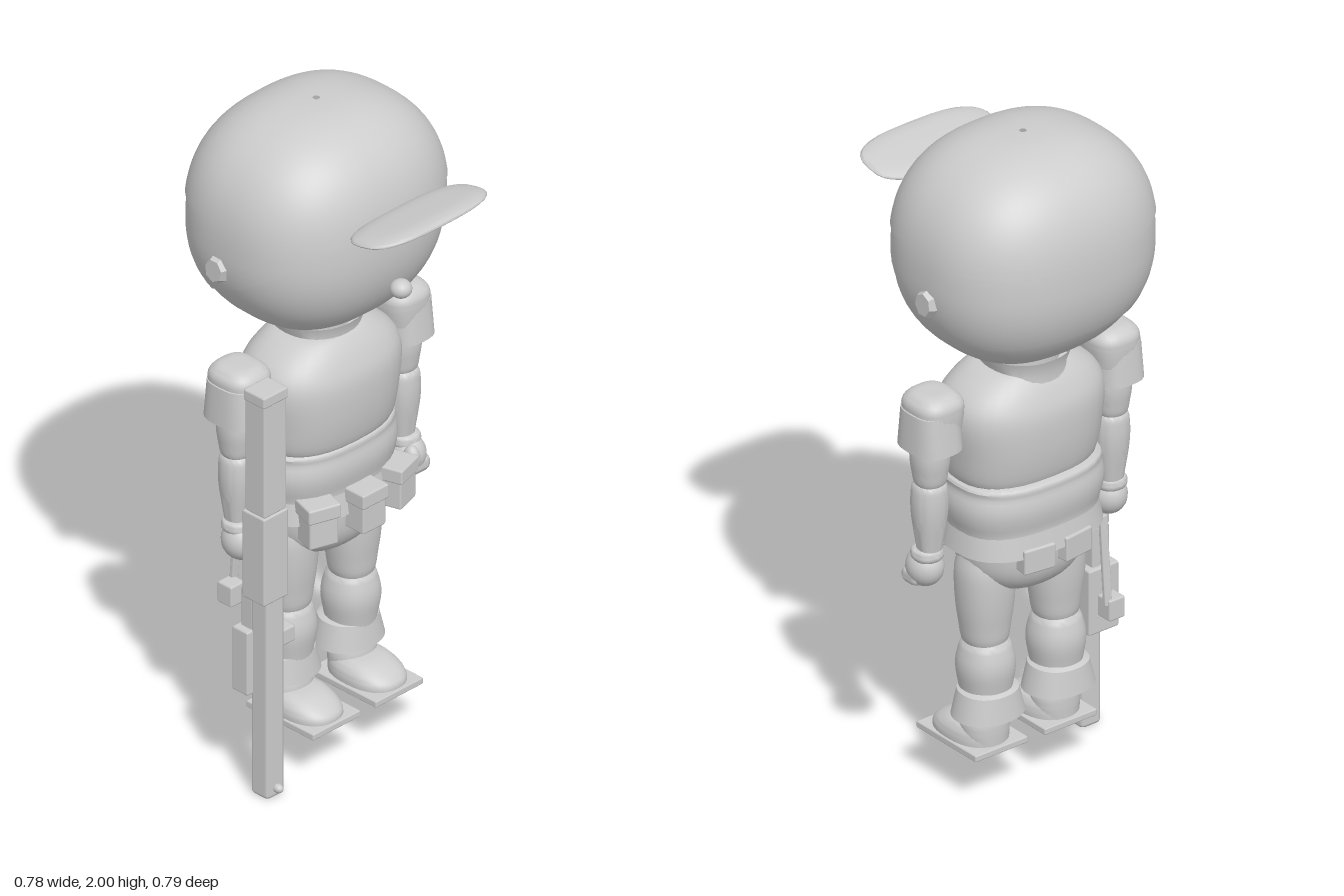
import * as THREE from 'three';
import { ParametricGeometry } from 'three/addons/geometries/ParametricGeometry.js';
import { RoundedBoxGeometry } from 'three/addons/geometries/RoundedBoxGeometry.js';
import { toCreasedNormals } from 'three/addons/utils/BufferGeometryUtils.js';

const grey = new THREE.MeshStandardMaterial({ color: 0xcccccc });
grey.name = 'plain grey';
const greyOpen = new THREE.MeshStandardMaterial({ color: 0xcccccc, side: THREE.DoubleSide });
greyOpen.name = 'plain grey open';

const power = (v, n) => Math.sign(v) * Math.abs(v) ** (2 / n);

function add(parent, name, geometry, x = 0, y = 0, z = 0, material = grey) {
  const mesh = new THREE.Mesh(geometry, material);
  mesh.name = name;
  mesh.position.set(x, y, z);
  parent.add(mesh);
  return mesh;
}

// Stack of rounded rings: rows are [y, halfWidth, halfDepth, centreX, centreZ]
function loft(rows, { n = 2.2, smooth = true, segments = 32, crease = 0.75 } = {}) {
  const at = (i, k) => rows[Math.min(Math.max(i, 0), rows.length - 1)][k] || 0;
  const sample = (t, k) => {
    const i = Math.min(Math.floor(t), rows.length - 2), f = t - i;
    const [a, b, c, d] = [at(i - 1, k), at(i, k), at(i + 1, k), at(i + 2, k)];
    if (!smooth) return b + (c - b) * f;
    return b + 0.5 * f * (c - a + f * (2 * a - 5 * b + 4 * c - d + f * (3 * (b - c) + d - a)));
  };
  const last = rows.length - 1;
  const geo = new ParametricGeometry((u, v, p) => {
    const t = v * last, a = u * Math.PI * 2;
    p.set(
      sample(t, 3) + Math.max(sample(t, 1), 0.0005) * power(Math.sin(a), n),
      sample(t, 0),
      sample(t, 4) + Math.max(sample(t, 2), 0.0005) * power(Math.cos(a), n));
  }, segments, last * (smooth ? 4 : 1));
  return toCreasedNormals(geo, crease);
}

const box = (w, h, d, r = 0.006) => new RoundedBoxGeometry(w, h, d, 1, r);

function ball(rx, ry, rz) {
  return new THREE.SphereGeometry(1, 20, 14).scale(rx, ry, rz);
}

// Point on the big rounded skull at angle a and height y
function skull(a, y, offset, p) {
  const up = y > 1.66, e = up ? 2.4 : 2.2;
  const t = Math.min(Math.abs(y - 1.66) / (up ? 0.334 : 0.32), 1);
  const r = Math.max((1 - t ** e) ** (1 / e), 0.002);
  p.set((0.353 * r + offset) * power(Math.sin(a), 2.45), y,
    -0.09 + (0.299 * r + offset) * power(Math.cos(a), 2.45));
}

// Skull patch between two edges that may vary with the angle
function skullPatch(bottom, top, offset) {
  const geo = new ParametricGeometry((u, v, p) => {
    const a = u * Math.PI * 2, low = bottom(a), high = top(a);
    const w = (1 - Math.cos(v * Math.PI)) / 2;
    skull(a, low + (high - low) * w, offset, p);
  }, 64, 32);
  return toCreasedNormals(geo, 0.9);
}

function buildHead() {
  const head = new THREE.Group();
  head.name = 'head';
  add(head, 'face', skullPatch(() => 1.34, () => 1.993, 0));
  add(head, 'cap', skullPatch(() => 1.73, () => 1.994, 0.009), 0, 0.006, 0, greyOpen);
  // Hairline slopes down from the temples to the nape, with a small front point
  const hairline = (a) => {
    const f = Math.min(a, Math.PI * 2 - a);
    if (f < 0.3) return 1.68 + 0.05 * f / 0.3;
    if (f < 0.85) return 1.73 - 0.05 * (f - 0.3) / 0.55;
    return 1.68 - 0.195 * Math.min((f - 0.85) / 1.0, 1);
  };
  add(head, 'hair', skullPatch(hairline, () => 1.74, 0.005), 0, 0, 0, greyOpen);
  const visor = add(head, 'visor', loft([
    [-0.016, 0, 0], [-0.015, 0.15, 0.06], [-0.008, 0.205, 0.092], [0, 0.22, 0.102],
    [0.008, 0.205, 0.092], [0.015, 0.15, 0.06], [0.016, 0, 0]], { n: 2.9, crease: 1.2 }), 0, 1.79, 0.3);
  visor.rotation.x = -0.21;
  add(head, 'nose', ball(0.031, 0.027, 0.031), 0, 1.535, 0.232);
  for (const s of [-1, 1]) {
    const ear = add(head, 'ear', new THREE.CylinderGeometry(0.032, 0.05, 0.04, 7), s * 0.35, 1.6, -0.115);
    ear.geometry = toCreasedNormals(ear.geometry.scale(0.9, 1, 1.15), 0.3);
    ear.rotation.set(0, 0, -s * Math.PI / 2);
    ear.rotation.order = 'ZYX';
    ear.geometry.rotateY(0.2).scale(1.2, 1, 0.85);
  }
  return head;
}

function buildTorso() {
  const torso = new THREE.Group();
  torso.name = 'torso';
  add(torso, 'neck', loft([[1.24, 0.1, 0.09], [1.4, 0.1, 0.09]]), 0, 0, -0.09);
  add(torso, 'collar', loft([[1.26, 0.14, 0.12], [1.3, 0.115, 0.115], [1.345, 0.13, 0.13]],
    { smooth: false }), 0, 0, -0.09, greyOpen);
  add(torso, 'chest', loft([[0.97, 0.19, 0.13], [0.995, 0.218, 0.15], [1.08, 0.232, 0.166],
    [1.18, 0.242, 0.168], [1.24, 0.222, 0.15], [1.29, 0.16, 0.12], [1.31, 0.1, 0.09], [1.31, 0, 0]],
  { n: 2.5 }), 0, 0, -0.077);
  add(torso, 'belly', loft([[0.8, 0, 0], [0.8, 0.19, 0.14], [0.85, 0.222, 0.155], [0.91, 0.235, 0.166],
    [0.96, 0.225, 0.16], [0.99, 0.205, 0.145], [1.0, 0, 0]], { n: 2.5 }), 0, 0, -0.085);
  add(torso, 'belt', loft([[0.775, 0.2, 0.14], [0.775, 0.232, 0.165], [0.86, 0.215, 0.152], [0.87, 0.19, 0.13]],
    { n: 2.5, smooth: false }), 0, 0, -0.085, greyOpen);
  add(torso, 'hips', loft([[0.615, 0, 0], [0.62, 0.07, 0.06], [0.65, 0.14, 0.11], [0.7, 0.182, 0.138],
    [0.77, 0.198, 0.147], [0.83, 0.2, 0.147]], { n: 2.2 }), 0, 0, -0.078);
  // Belt pouches, each with a flap
  for (const x of [-0.15, 0, 0.15]) {
    const pouch = new THREE.Group();
    pouch.name = 'frontPouch';
    pouch.position.set(x, 0.79, x ? 0.065 : 0.095);
    pouch.rotation.y = x * 2;
    add(pouch, 'pouchBody', box(0.088, 0.11, 0.075), 0, -0.005, 0);
    add(pouch, 'pouchFlap', box(0.1, 0.045, 0.088), 0, 0.045, 0);
    torso.add(pouch);
  }
  for (const x of [-0.065, 0.065]) {
    add(torso, 'backPouch', box(0.1, 0.075, 0.05), x, 0.765, -0.225).rotation.y = -x * 2;
  }
  return torso;
}

function buildArm() {
  const arm = new THREE.Group();
  arm.name = 'arm';
  add(arm, 'shoulder', loft([[1.19, 0.066, 0.076], [1.24, 0.074, 0.08], [1.275, 0.072, 0.077],
    [1.298, 0.045, 0.05], [1.3, 0, 0]], { n: 2.8 }), 0.305, 0, -0.08);
  add(arm, 'sleeve', loft([[1.135, 0.06, 0.06], [1.135, 0.074, 0.088], [1.25, 0.068, 0.078], [1.255, 0.055, 0.06]],
    { n: 2.8, smooth: false }), 0.315, 0, -0.08, greyOpen);
  add(arm, 'upperArm', loft([[1.01, 0, 0], [1.015, 0.038, 0.038], [1.06, 0.049, 0.05], [1.11, 0.054, 0.055],
    [1.18, 0.05, 0.05]]), 0.315, 0, -0.08);
  add(arm, 'forearm', loft([[0.79, 0.03, 0.03], [0.84, 0.038, 0.037], [0.92, 0.049, 0.048], [0.98, 0.05, 0.05],
    [1.02, 0.04, 0.042], [1.03, 0, 0]]), 0.315, 0, -0.078);
  add(arm, 'wristband', loft([[0.78, 0, 0], [0.785, 0.04, 0.04], [0.815, 0.04, 0.04], [0.82, 0, 0]]), 0.318, 0, -0.072);
  return arm;
}

function buildLeg() {
  const leg = new THREE.Group();
  leg.name = 'leg';
  add(leg, 'thigh', loft([[0.455, 0, 0], [0.46, 0.055, 0.055], [0.53, 0.072, 0.069], [0.61, 0.081, 0.078],
    [0.69, 0.082, 0.08], [0.74, 0.07, 0.07]]), 0.122, 0, -0.077);
  add(leg, 'calf', loft([[0.24, 0.06, 0.06], [0.32, 0.07, 0.07], [0.39, 0.08, 0.08], [0.44, 0.073, 0.073],
    [0.475, 0.055, 0.055], [0.48, 0, 0]]), 0.122, 0, -0.08);
  add(leg, 'trouserCuff', loft([[0.255, 0.07, 0.06], [0.25, 0.105, 0.088], [0.325, 0.085, 0.078], [0.332, 0.065, 0.065]],
    { smooth: false }), 0.122, 0, -0.09, greyOpen);
  // Boot: ankle, rounded toe, thin slab sole
  add(leg, 'ankle', loft([[0.15, 0.062, 0.06], [0.2, 0.07, 0.062], [0.235, 0.066, 0.06], [0.27, 0.05, 0.05]]), 0.122, 0, -0.075);
  add(leg, 'bootUpper', loft([[0.145, 0.082, 0.115], [0.175, 0.084, 0.116], [0.2, 0.077, 0.1, 0, -0.012],
    [0.22, 0.055, 0.07, 0, -0.03], [0.225, 0, 0, 0, -0.03]], { n: 2.4 }), 0.122, 0, -0.018);
  add(leg, 'sole', box(0.182, 0.02, 0.256, 0.004), 0.12, 0.152, -0.02);
  add(leg, 'tread', box(0.15, 0.016, 0.22, 0.004), 0.12, 0.137, -0.02);
  return leg;
}

function buildRifle() {
  const rifle = new THREE.Group();
  rifle.name = 'rifle';
  add(rifle, 'barrel', box(0.068, 0.64, 0.066, 0.012), -0.32, 0.32, 0.043);
  add(rifle, 'frontSight', ball(0.013, 0.013, 0.016), -0.32, 0.03, 0.083);
  add(rifle, 'receiver', box(0.094, 0.275, 0.085), -0.322, 0.757, 0.036);
  add(rifle, 'stock', box(0.086, 0.355, 0.075), -0.32, 1.07, 0.036);
  add(rifle, 'buttPlate', box(0.094, 0.035, 0.08), -0.32, 1.258, 0.036);
  add(rifle, 'foregrip', box(0.104, 0.2, 0.06), -0.322, 0.415, -0.01);
  add(rifle, 'gripNeck', box(0.06, 0.13, 0.045), -0.322, 0.57, -0.005);
  add(rifle, 'sideBracket', box(0.055, 0.05, 0.055), -0.255, 0.472, 0.03);
  add(rifle, 'sideRod', box(0.014, 0.22, 0.02, 0.003), -0.265, 0.595, 0.03);
  return rifle;
}

export function createModel() {
  const model = new THREE.Group();
  model.name = 'toySoldier';
  model.add(buildHead(), buildTorso(), buildRifle());
  // Every limb part is symmetric, so the other side is a half turn of geometry in x
  for (const side of [-1, 1]) {
    for (const limb of [buildArm(), buildLeg()]) {
      limb.children.forEach((part) => { part.position.x *= side; });
      limb.name = (side > 0 ? 'left ' : 'right ') + limb.name;
      model.add(limb);
    }
    add(model, 'hand', ball(0.052, 0.058, 0.056), side * 0.318, 0.755, -0.062);
  }
  // Left fist with thumb, right fingers around the rifle
  add(model, 'leftFingers', box(0.09, 0.05, 0.07, 0.02), 0.322, 0.727, -0.045);
  add(model, 'leftThumb', ball(0.023, 0.04, 0.026), 0.292, 0.765, -0.018);
  for (const y of [0.655, 0.715, 0.785, 0.845]) {
    add(model, 'rightFinger', ball(0.02, 0.022, 0.04), -0.262, y, 0.015);
  }
  // Strap with a small weight hanging behind the right hip
  add(model, 'hipStrap', box(0.025, 0.27, 0.012, 0.003), -0.2, 0.645, -0.195).rotation.x = 0.08;
  add(model, 'hipWeight', box(0.055, 0.065, 0.055), -0.225, 0.495, -0.19);
  return model;
}
